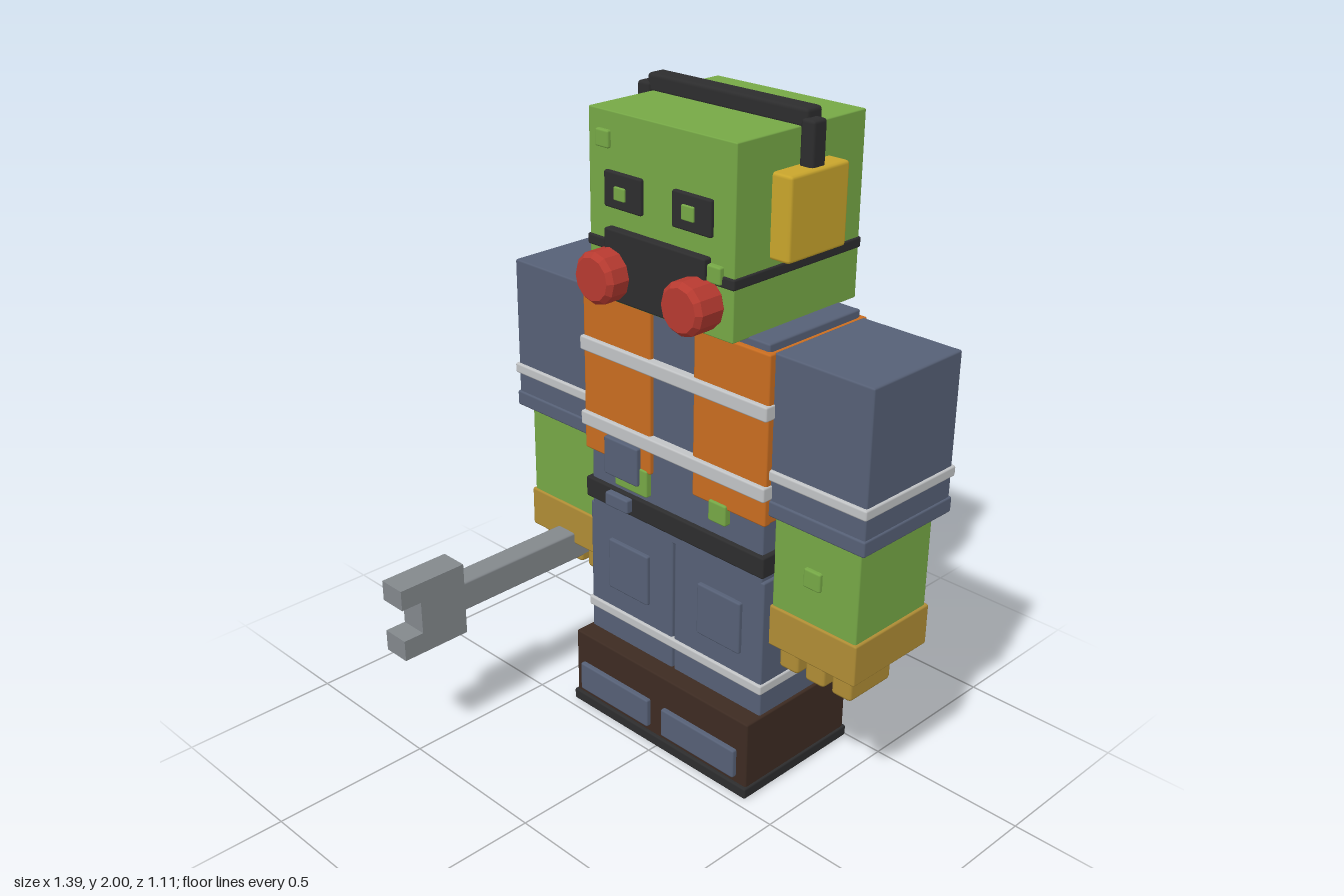
import * as THREE from 'three';
import { RoundedBoxGeometry } from 'three/addons/geometries/RoundedBoxGeometry.js';

const palette = {
  skinGreen: 0x76a846, workBlue: 0x566076, vestOrange: 0xc96d20, reflective: 0xc2c4c6,
  rubberBlack: 0x2d2d2e, bootBrown: 0x3d2b22, gloveTan: 0xb08d35, muffYellow: 0xc9a52c,
  filterRed: 0xb73a30, steelGrey: 0x83888c,
};

export function createModel() {
  const root = new THREE.Group();
  root.name = 'worker';
  const mats = {};
  for (const [name, color] of Object.entries(palette)) {
    mats[name] = new THREE.MeshStandardMaterial({ color });
    mats[name].name = name;
  }
  const group = (name) => {
    const g = new THREE.Group();
    g.name = name;
    root.add(g);
    return g;
  };
  // Box given by its extents, with a slight bevel
  const box = (parent, name, mat, x0, x1, y0, y1, z0, z1, bevel = 0.006) => {
    const w = x1 - x0, h = y1 - y0, d = z1 - z0;
    const r = Math.min(bevel, w * 0.3, h * 0.3, d * 0.3);
    const mesh = new THREE.Mesh(new RoundedBoxGeometry(w, h, d, 1, r), mats[mat]);
    mesh.position.set((x0 + x1) / 2, (y0 + y1) / 2, (z0 + z1) / 2);
    mesh.name = name;
    parent.add(mesh);
    return mesh;
  };
  // Same box on the side s (+1 or -1)
  const sideBox = (parent, name, mat, s, x0, x1, ...rest) =>
    box(parent, name, mat, s > 0 ? x0 : -x1, s > 0 ? x1 : -x0, ...rest);

  // Boots and legs
  const legs = group('legs');
  box(legs, 'sole', 'rubberBlack', -0.372, 0.372, 0.004, 0.04, -0.497, -0.03);
  box(legs, 'boots', 'bootBrown', -0.366, 0.366, 0.035, 0.26, -0.488, -0.04);
  box(legs, 'toePatch', 'workBlue', -0.335, -0.033, 0.06, 0.157, -0.045, -0.024);
  box(legs, 'toePatch', 'workBlue', 0.025, 0.327, 0.06, 0.157, -0.045, -0.024);
  for (const s of [-1, 1]) {
    sideBox(legs, 'trouserLeg', 'workBlue', s, 0.004, 0.357, 0.25, 0.705, -0.478, -0.102);
  }
  box(legs, 'kneePatch', 'workBlue', -0.268, -0.098, 0.44, 0.61, -0.11, -0.089);
  box(legs, 'kneePatch', 'workBlue', 0.108, 0.278, 0.44, 0.61, -0.11, -0.089);
  box(legs, 'ankleStripe', 'reflective', -0.363, 0.363, 0.335, 0.367, -0.486, -0.093);

  // Torso and belt
  const torso = group('torso');
  box(torso, 'jacket', 'workBlue', -0.347, 0.347, 0.69, 1.422, -0.476, -0.102);
  box(torso, 'belt', 'rubberBlack', -0.362, 0.362, 0.725, 0.792, -0.488, -0.088);
  box(torso, 'buckle', 'workBlue', -0.256, -0.16, 0.74, 0.785, -0.095, -0.066);

  // Safety vest, open at the front
  const vest = group('vest');
  box(vest, 'vestBack', 'vestOrange', -0.362, 0.362, 0.89, 1.4, -0.489, -0.465);
  for (const s of [-1, 1]) {
    sideBox(vest, 'vestFront', 'vestOrange', s, 0.085, 0.362, 0.89, 1.4, -0.115, -0.088);
    sideBox(vest, 'vestSide', 'vestOrange', s, 0.34, 0.36, 0.892, 1.398, -0.475, -0.105);
  }
  for (const y of [0.97, 1.21]) {
    box(vest, 'vestStripe', 'reflective', -0.366, 0.366, y, y + 0.045, -0.496, -0.075);
  }
  box(vest, 'greenPatch', 'skinGreen', -0.23, -0.095, 0.812, 0.9, -0.11, -0.083);
  box(vest, 'greenPatch', 'skinGreen', 0.155, 0.222, 0.84, 0.905, -0.11, -0.08);
  box(vest, 'pocket', 'workBlue', -0.265, -0.124, 0.842, 0.965, -0.1, -0.072);

  // Arms, gloves and fingers
  for (const s of [-1, 1]) {
    const arm = group(s > 0 ? 'leftArm' : 'rightArm');
    sideBox(arm, 'sleeve', 'workBlue', s, 0.356, 0.688, 0.93, 1.4, -0.478, -0.11);
    sideBox(arm, 'cuff', 'workBlue', s, 0.353, 0.693, 0.92, 0.968, -0.484, -0.104);
    sideBox(arm, 'sleeveStripe', 'reflective', s, 0.352, 0.695, 1.03, 1.062, -0.487, -0.1);
    sideBox(arm, 'forearm', 'skinGreen', s, 0.358, 0.66, 0.61, 0.93, -0.447, -0.137);
    sideBox(arm, 'glove', 'gloveTan', s, 0.353, 0.668, 0.495, 0.625, -0.456, -0.13);
    for (const x of [0.373, 0.47, 0.567]) {
      sideBox(arm, 'finger', 'gloveTan', s, x, x + 0.07, 0.415, 0.505, -0.34, -0.16, 0.01);
    }
    if (s > 0) box(arm, 'wart', 'skinGreen', 0.475, 0.535, 0.738, 0.797, -0.145, -0.125);
  }

  // Wrench with an open jaw
  const wrench = group('wrench');
  box(wrench, 'wrenchHandle', 'steelGrey', -0.547, -0.47, 0.437, 0.532, -0.25, 0.33);
  const jaw = new THREE.Shape([
    [0.32, 0.365], [0.55, 0.365], [0.55, 0.432], [0.482, 0.432],
    [0.482, 0.537], [0.55, 0.537], [0.55, 0.602], [0.32, 0.602],
  ].map(([z, y]) => new THREE.Vector2(-z, y)));
  const jawGeo = new THREE.ExtrudeGeometry(jaw, { depth: 0.09, bevelEnabled: false });
  const jawMesh = new THREE.Mesh(jawGeo.rotateY(Math.PI / 2).translate(-0.554, 0, 0), mats.steelGrey);
  jawMesh.name = 'wrenchJaw';
  wrench.add(jawMesh);

  // Head, strap and skin bumps
  const head = group('head');
  box(head, 'skull', 'skinGreen', -0.272, 0.272, 1.418, 1.952, -0.545, -0.04, 0.004);
  box(head, 'maskStrap', 'rubberBlack', -0.277, 0.277, 1.565, 1.597, -0.55, -0.034);
  box(head, 'foreheadWart', 'skinGreen', -0.236, -0.185, 1.85, 1.9, -0.05, -0.028);
  box(head, 'cheekWart', 'skinGreen', 0.185, 0.236, 1.572, 1.622, -0.05, -0.024);
  box(head, 'neckBump', 'skinGreen', -0.1, 0.1, 1.53, 1.665, -0.555, -0.53);
  // Eyes
  box(head, 'eye', 'rubberBlack', -0.203, -0.06, 1.69, 1.792, -0.05, -0.028);
  box(head, 'eye', 'rubberBlack', 0.055, 0.197, 1.69, 1.792, -0.05, -0.028);
  box(head, 'pupil', 'skinGreen', -0.16, -0.117, 1.717, 1.755, -0.035, -0.022);
  box(head, 'pupil', 'skinGreen', 0.095, 0.14, 1.72, 1.762, -0.035, -0.022);

  // Breathing mask with two round filters
  const mask = group('mask');
  box(mask, 'maskBody', 'rubberBlack', -0.19, 0.19, 1.432, 1.637, -0.06, -0.014);
  const filterProfile = [[0, -0.045], [0.068, -0.045], [0.076, -0.036], [0.076, 0.042], [0.062, 0.057], [0, 0.057]]
    .map(([r, y]) => new THREE.Vector2(r, y));
  for (const s of [-1, 1]) {
    const geo = new THREE.LatheGeometry(filterProfile, 12).rotateX(Math.PI / 2).toNonIndexed();
    geo.computeVertexNormals();
    const filter = new THREE.Mesh(geo, mats.filterRed);
    filter.position.set(s * 0.166, 1.509, 0);
    filter.name = 'maskFilter';
    mask.add(filter);
  }

  // Ear protectors
  const ears = group('earProtectors');
  box(ears, 'headband', 'rubberBlack', -0.292, 0.292, 1.945, 2, -0.342, -0.278, 0.012);
  for (const s of [-1, 1]) {
    sideBox(ears, 'bandArm', 'rubberBlack', s, 0.276, 0.323, 1.835, 1.975, -0.325, -0.27, 0.01);
    sideBox(ears, 'earCup', 'muffYellow', s, 0.26, 0.337, 1.617, 1.852, -0.408, -0.175, 0.01);
  }
  return root;
}
